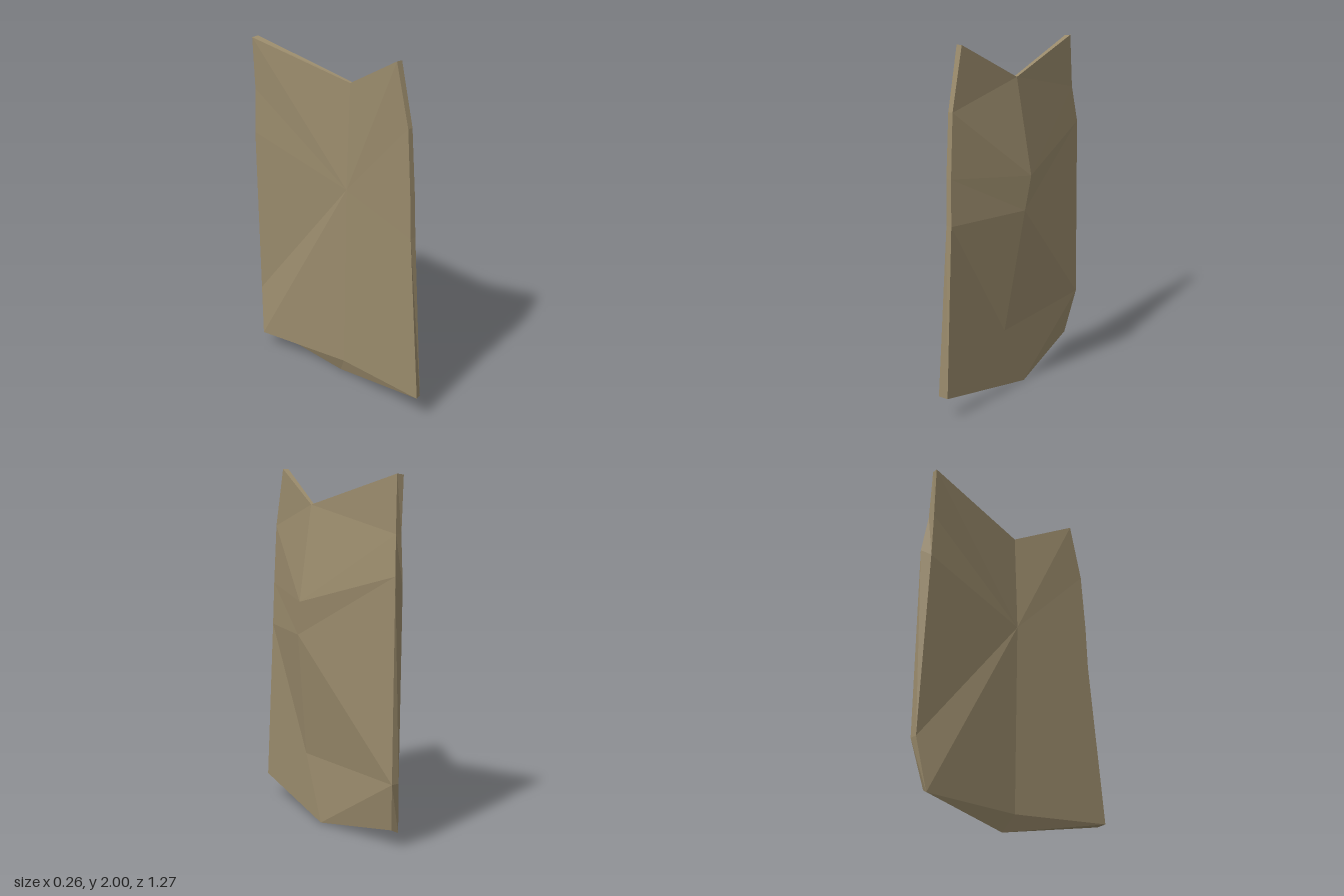
import * as THREE from 'three';

// Outer (+x) face: twelve rim corners, clockwise from the front top, then three inner points
const outer = [
  [0.015, 2.0, 0.44], [0.045, 1.8, 0.05], [-0.09, 1.96, -0.59], [-0.08, 1.66, -0.6],
  [-0.06, 1.45, -0.63], [-0.05, 0.37, -0.635], [-0.09, 0.1, -0.575], [0.03, 0, -0.03],
  [0.04, 0.13, 0.62], [0.03, 1.08, 0.555], [0.025, 1.33, 0.545], [0.02, 1.67, 0.52],
  [0.13, 1.27, 0.03], [0.12, 1.08, 0.07], [0.03, 0.37, 0.14],
];

// Inner (-x) face: matching rim corners, then one point on the fold
const inner = [
  [-0.02, 2.0, 0.44], [0.025, 1.8, 0.05], [-0.13, 1.955, -0.59], [-0.12, 1.66, -0.59],
  [-0.125, 1.4, -0.6], [-0.095, 0.37, -0.63], [-0.13, 0.08, -0.58], [0.0, 0.1, 0.03],
  [-0.005, 0.14, 0.64], [-0.005, 1.08, 0.555], [-0.008, 1.33, 0.545], [-0.01, 1.67, 0.52],
  [0.0, 1.2, 0.05],
];

const outerFacets = [
  [0, 1, 11], [11, 1, 12], [1, 2, 3], [1, 3, 12], [3, 4, 12], [12, 4, 13], [4, 5, 13],
  [5, 14, 13], [5, 7, 14], [5, 6, 7], [7, 8, 14], [8, 9, 14], [9, 13, 14],
  [9, 10, 13], [10, 12, 13], [10, 11, 12],
];

function facetMesh(name, triangles, material) {
  const geometry = new THREE.BufferGeometry();
  geometry.setAttribute('position', new THREE.Float32BufferAttribute(triangles.flat(2), 3));
  geometry.computeVertexNormals();
  const mesh = new THREE.Mesh(geometry, material);
  mesh.name = name;
  return mesh;
}

export function createModel() {
  const group = new THREE.Group();
  group.name = 'bentPlate';
  const material = new THREE.MeshStandardMaterial({ color: 0x9a8b6c });
  material.name = 'dull tan';

  // Ridged outer face
  const front = outerFacets.map(([a, b, c]) => [outer[c], outer[b], outer[a]]);

  // Inner face fans out from the fold, and the rim joins both faces
  const back = [];
  const rim = [];
  for (let i = 0; i < 12; i++) {
    const j = (i + 1) % 12;
    back.push([inner[i], inner[j], inner[12]]);
    rim.push([outer[i], outer[j], inner[j]], [outer[i], inner[j], inner[i]]);
  }

  group.add(
    facetMesh('outerFace', front, material),
    facetMesh('innerFace', back, material),
    facetMesh('rim', rim, material),
  );
  return group;
}
